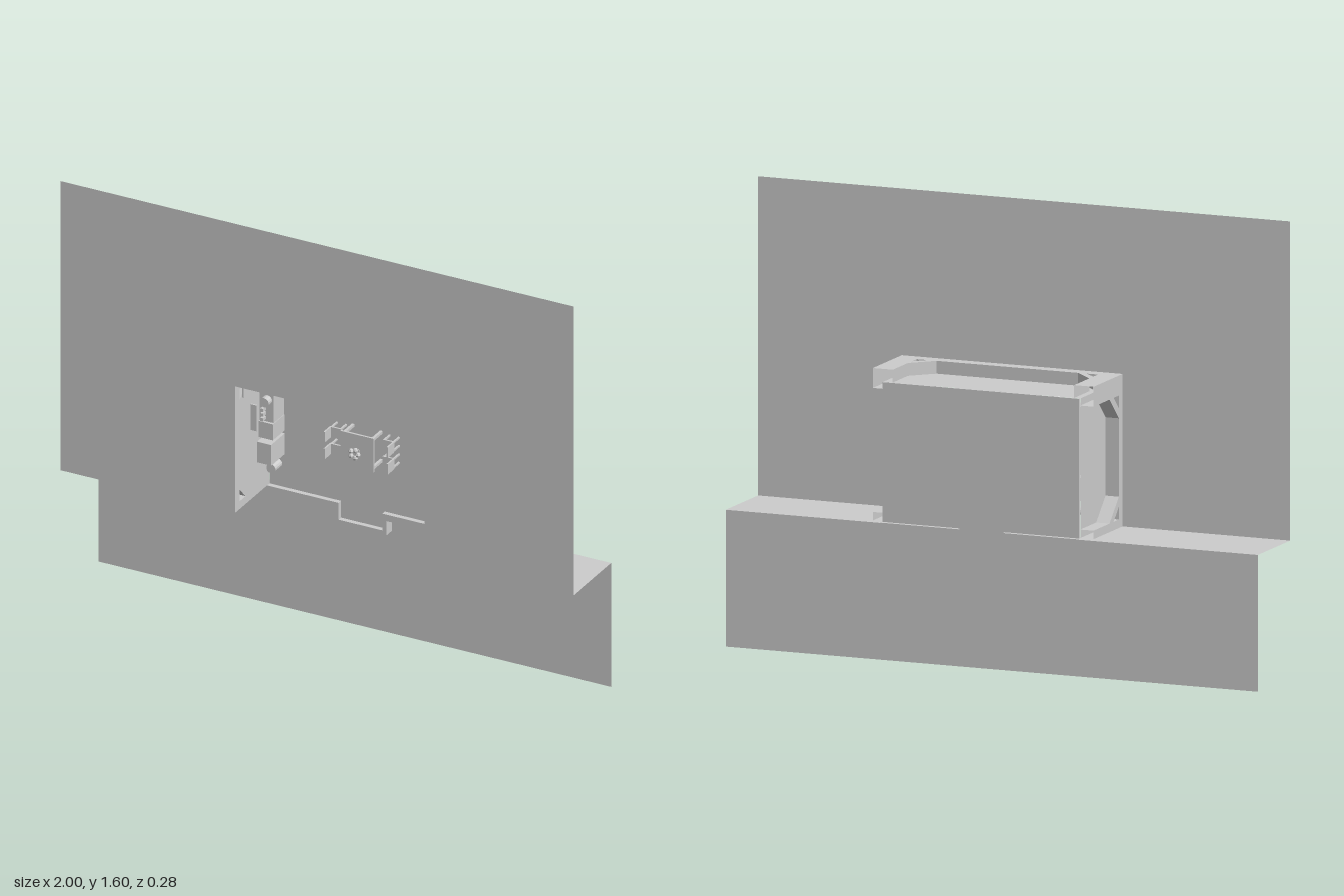
import * as THREE from 'three';

const FLOOR = -0.113, FRONT = 0.139;

export function createModel() {
  const root = new THREE.Group();
  const gray = new THREE.MeshStandardMaterial({ color: 0xcccccc, side: THREE.DoubleSide, flatShading: true });
  gray.name = 'plain light gray';

  const add = (name, geo, parent = root) => {
    const m = new THREE.Mesh(geo, gray);
    m.name = name;
    parent.add(m);
    return m;
  };
  const path = pts => pts.map(p => new THREE.Vector2(...p));
  const sheet = (pts, holes = []) => {
    const s = new THREE.Shape(path(pts));
    for (const h of holes) s.holes.push(new THREE.Path(path(h)));
    return new THREE.ShapeGeometry(s);
  };
  const rect = (a, b, c, d) => [[a, c], [b, c], [b, d], [a, d]];
  // open band that follows a 2D line between two heights
  const band = (pts, h) => {
    const pos = [], idx = [];
    pts.forEach(([u, v], i) => {
      pos.push(u, v, 0, u, v, h);
      if (i) idx.push(2 * i - 2, 2 * i, 2 * i - 1, 2 * i, 2 * i + 1, 2 * i - 1);
    });
    const g = new THREE.BufferGeometry();
    g.setAttribute('position', new THREE.Float32BufferAttribute(pos, 3));
    g.setIndex(idx);
    const flat = g.toNonIndexed();
    flat.computeVertexNormals();
    return flat;
  };

  // Large backdrop: upper sheet with opening, ledges, lower sheet
  add('upperSheet', sheet([[-1, 0.48], [-0.32, 0.48], [-0.32, 0.97], [0.42, 0.97],
    [0.42, 0.48], [1, 0.48], [1, 1.6], [-1, 1.6]])).position.z = FRONT;
  add('lowerSheet', sheet(rect(-1, 1, 0, 0.48))).position.z = -FRONT;
  for (const [a, b] of [[-1, -0.32], [0.42, 1]]) {
    const ledge = add('ledge', sheet(rect(a, b, -FRONT, FRONT)));
    ledge.rotation.x = Math.PI / 2;
    ledge.position.y = 0.48;
  }

  // Wall with a recessed panel, a hollow rim and triangular corner cut-outs
  // o: outer span, n: inner span, p: panel span, top: rim edge, c: chamfer, t: triangle
  const wall = (name, o, n, p, top, c, t, depth, axes, origin) => {
    const g = new THREE.Group();
    g.name = name;
    const inner = [[n[0], -0.11], [n[0], top - c], [n[0] + c, top],
      [n[1] - c, top], [n[1], top - c], [n[1], -0.11]];
    const tris = [
      [[n[0], top], [n[0] + t, top], [n[0], top - t]],
      [[n[1], top], [n[1] - t, top], [n[1], top - t]]];
    const outline = [...inner, [o[1], -0.11], [o[1], FRONT], [o[0], FRONT], [o[0], -0.11]];
    add('rimPlate', sheet(outline, tris), g).position.z = depth;
    add('rimInnerEdge', band(inner, depth), g);
    for (const tri of tris) add('cutoutEdge', band([...tri, tri[0]], depth), g);
    add('wallPanel', sheet(rect(p[0], p[1], -0.11, FRONT), tris), g);
    g.applyMatrix4(new THREE.Matrix4().makeBasis(...axes).setPosition(...origin));
    root.add(g);
  };
  const X = new THREE.Vector3(1, 0, 0), Y = new THREE.Vector3(0, 1, 0), Z = new THREE.Vector3(0, 0, 1);
  wall('topWall', [-0.37, 0.46], [-0.297, 0.385], [-0.32, 0.42], 0.095, 0.075, 0.042, 0.045, [X, Z, Y], [0, 0.97, 0]);
  wall('leftWall', [0.48, 1.015], [0.51, 0.945], [0.48, 0.97], 0.107, 0.08, 0.045, 0.04, [Y, Z, X], [0.42, 0, 0]);
  wall('rightWall', [0.48, 1.015], [0.51, 0.945], [0.48, 0.97], 0.107, 0.08, 0.045, 0.05,
    [Y, Z, X.clone().negate()], [-0.32, 0, 0]);

  // Box standing on the floor plane, given by centre, footprint and height
  const block = (name, x, y, w, h, tall, base = FLOOR, parent = root) => {
    const m = add(name, new THREE.BoxGeometry(w, h, tall), parent);
    m.position.set(x, y, base + tall / 2);
    return m;
  };
  const drum = (name, x, y, r, tall, base = FLOOR, r2 = r) => {
    const m = add(name, new THREE.CylinderGeometry(r2, r, tall, 14), root);
    m.rotation.x = Math.PI / 2;
    m.position.set(x, y, base + tall / 2);
    return m;
  };

  // Floor with porch and its low border
  block('floor', 0.05, 0.725, 0.74, 0.49, 0.006, -0.119);
  block('porchFloor', 0.045, 0.44, 0.2, 0.08, 0.006, -0.119);
  const border = [[-0.37, 0.48], [-0.37, 0.455], [-0.057, 0.455], [-0.057, 0.4], [0.147, 0.4],
    [0.147, 0.455], [0.46, 0.455], [0.46, 0.48], [0.13, 0.48], [0.13, 0.415], [-0.04, 0.415], [-0.04, 0.48]];
  add('lowBorder', new THREE.ExtrudeGeometry(new THREE.Shape(path(border)),
    { depth: 0.04, bevelEnabled: false })).position.z = -0.135;

  // Dining table with bowl and plant
  block('tableTop', 0.062, 0.73, 0.13, 0.13, 0.008, -0.045);
  for (const sx of [-1, 1]) for (const sy of [-1, 1])
    block('tableLeg', 0.062 + sx * 0.055, 0.73 + sy * 0.055, 0.01, 0.01, 0.068);
  drum('bowl', 0.062, 0.73, 0.012, 0.016, -0.037, 0.022);
  for (let i = 0; i < 5; i++) {
    const leaf = add('tableLeaf', new THREE.SphereGeometry(0.01, 6, 4));
    leaf.position.set(0.062 + 0.015 * Math.cos(i * 1.257), 0.73 + 0.015 * Math.sin(i * 1.257), -0.017);
  }

  // Four chairs facing the table
  for (const sx of [-1, 1]) for (const y of [0.699, 0.764]) {
    const chair = new THREE.Group();
    chair.name = 'chair';
    root.add(chair);
    const x = 0.065 + sx * 0.103;
    block('seat', x, y, 0.044, 0.04, 0.007, FLOOR + 0.04, chair);
    block('backrest', x + sx * 0.02, y, 0.006, 0.04, 0.045, FLOOR + 0.045, chair);
    for (const a of [-1, 1]) for (const b of [-1, 1])
      block('chairLeg', x + a * 0.018, y + b * 0.016, 0.006, 0.006, 0.04, FLOOR, chair);
  }

  // Furniture along the right wall
  block('kitchenCounter', -0.291, 0.85, 0.055, 0.18, 0.075);
  block('stove', -0.289, 0.73, 0.055, 0.062, 0.085);
  block('cabinet', -0.288, 0.648, 0.055, 0.08, 0.1);
  drum('stool', -0.288, 0.567, 0.018, 0.05);
  drum('pot', -0.288, 0.845, 0.018, 0.025, -0.038);
  drum('cup', -0.285, 0.89, 0.011, 0.02, -0.038);
  for (let i = 0; i < 3; i++) block('jar', -0.3, 0.775 + i * 0.018, 0.012, 0.012, 0.02, -0.038);
  block('wallFrame', -0.316, 0.93, 0.006, 0.05, 0.05, 0.04);
  block('wallShelf', -0.308, 0.8, 0.024, 0.1, 0.006, 0.02);

  // Furniture along the top wall
  drum('planter', -0.208, 0.945, 0.018, 0.04);
  add('planterLeaves', new THREE.IcosahedronGeometry(0.026, 0)).position.set(-0.208, 0.942, -0.05);
  block('bookcase', -0.092, 0.943, 0.115, 0.05, 0.06);
  block('mediaCabinet', 0.062, 0.945, 0.16, 0.05, 0.045);
  block('screen', 0.062, 0.947, 0.12, 0.008, 0.06, -0.062);
  block('desk', 0.303, 0.942, 0.15, 0.056, 0.06);
  block('deskPaper', 0.262, 0.938, 0.045, 0.025, 0.006, -0.053);
  block('deskDevice', 0.335, 0.935, 0.04, 0.018, 0.012, -0.053);

  // Furniture along the left wall
  drum('largePlanter', 0.372, 0.775, 0.024, 0.045, FLOOR, 0.028);
  add('largePlantLeaves', new THREE.IcosahedronGeometry(0.035, 1)).position.set(0.372, 0.775, -0.045);
  block('armchairSeat', 0.378, 0.693, 0.055, 0.06, 0.04);
  block('armchairBack', 0.402, 0.693, 0.012, 0.06, 0.08);
  block('sideCounter', 0.384, 0.563, 0.062, 0.155, 0.065);
  block('counterTray', 0.38, 0.605, 0.045, 0.04, 0.01, -0.048);
  drum('roundStool', 0.336, 0.588, 0.021, 0.05);
  drum('lampBase', 0.393, 0.545, 0.012, 0.03, -0.048);
  drum('lampShade', 0.393, 0.545, 0.02, 0.025, -0.018, 0.014);

  return root;
}
